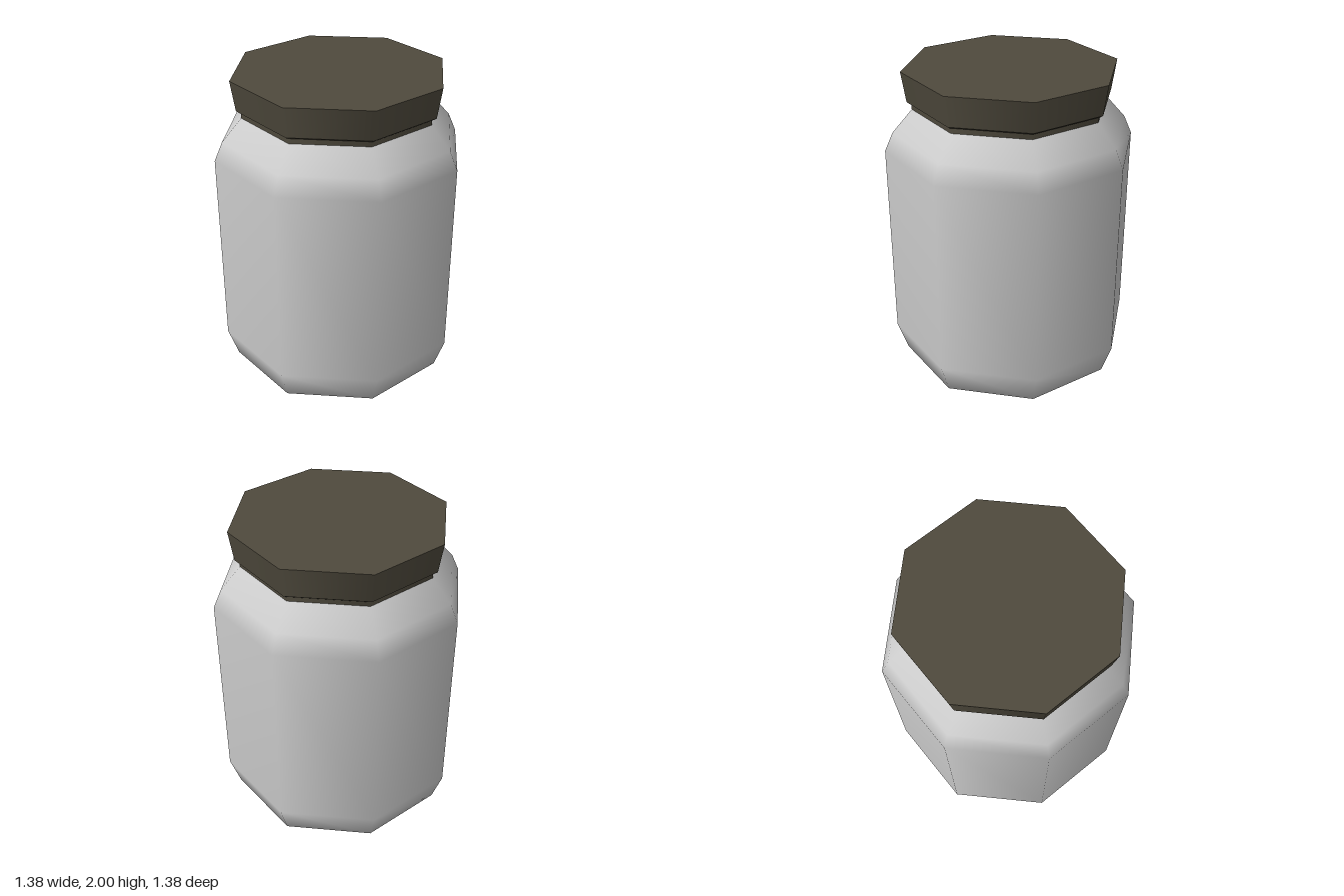
import * as THREE from 'three';

const SIDES = 8;
const TURN = Math.PI / SIDES;
// Converts the half-width across flats to the corner radius of the octagon
const corner = (halfWidth) => halfWidth / Math.cos(TURN);

export function createModel() {
  const model = new THREE.Group();
  model.name = 'jar';

  const glass = new THREE.MeshStandardMaterial({ name: 'pale grey glass', color: 0xcdcdcd });
  const lidPaint = new THREE.MeshStandardMaterial({ name: 'dark olive lid', color: 0x4f4a3d });

  // Jar body: eight-sided, smooth-shaded, closed at the base and under the lid
  const profile = [
    [0, 0], [0.42, 0], [0.633, 0.135], [0.69, 0.32],
    [0.69, 1.53], [0.645, 1.64], [0.535, 1.775],
  ].map(([w, y]) => new THREE.Vector2(corner(w), y));
  const body = new THREE.Mesh(new THREE.LatheGeometry(profile, SIDES, TURN), glass);
  body.name = 'jarBody';
  model.add(body);

  // Lid: octagonal rings with flat caps
  const addRing = (name, bottomWidth, topWidth, y0, y1) => {
    const geometry = new THREE.CylinderGeometry(
      corner(topWidth), corner(bottomWidth), y1 - y0, SIDES, 1, false, TURN);
    const ring = new THREE.Mesh(geometry, lidPaint);
    ring.name = name;
    ring.position.y = (y0 + y1) / 2;
    model.add(ring);
  };
  addRing('lidCollar', 0.535, 0.535, 1.775, 1.812);
  addRing('lidLowerBevel', 0.547, 0.56, 1.81, 1.82);
  addRing('lidCap', 0.56, 0.585, 1.82, 2);

  return model;
}
